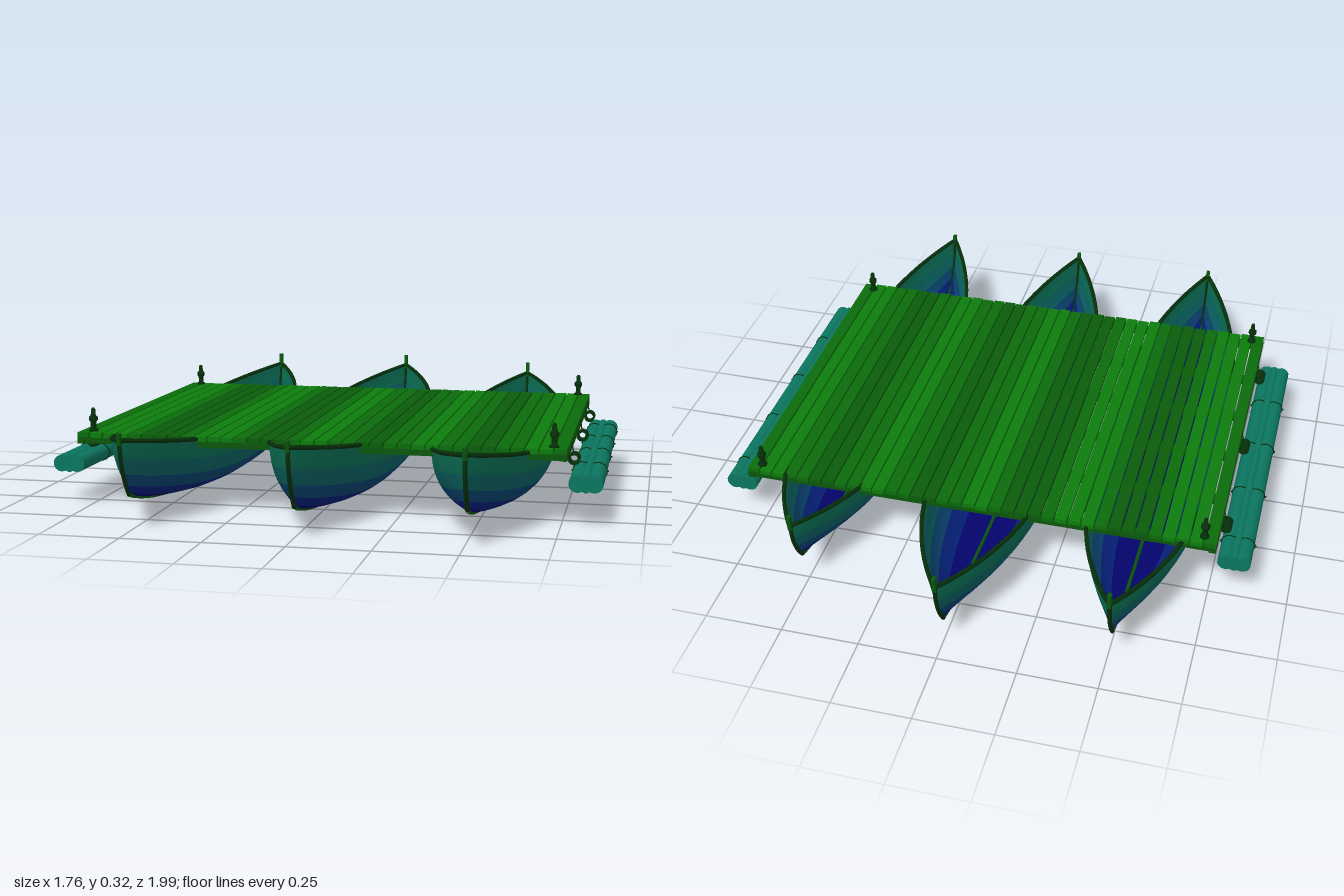
import * as THREE from 'three';

const paint = (color, side = THREE.FrontSide) => new THREE.MeshStandardMaterial({ color, side });
const timber = paint(0x0a560c), darkTimber = paint(0x06300a), logTeal = paint(0x0b7660);
const plankTones = [0x0a5c0a, 0x0b6c0b, 0x0c7c0c].map((c) => paint(c));
const hullTones = [0x04046e, 0x06207a, 0x084470, 0x0a6262, 0x0a6e54].map((c) => paint(c, THREE.DoubleSide));

function add(parent, name, geometry, material, x = 0, y = 0, z = 0) {
  const mesh = new THREE.Mesh(geometry, material);
  mesh.name = name;
  mesh.position.set(x, y, z);
  parent.add(mesh);
  return mesh;
}

// Point on the hull skin: t runs stern to bow (-1..1), v from keel (0) to gunwale (1)
function hullPoint(h, t, v, side) {
  const a = Math.abs(t);
  const bottom = h.base + 0.085 * a ** 2.3;
  const sheer = 0.208 + 0.08 * a * a;
  const n = 2.5 - 1.1 * a ** 3;
  const width = h.halfWidth * (1 - a ** 3) + 0.003;
  const x = side * width * Math.max(0, 1 - (1 - v) ** n) ** (1 / n);
  const z = h.mid + h.halfLength * t * (1 - 0.075 * a ** 4 * (1 - v) ** 2);
  return new THREE.Vector3(x, bottom + (sheer - bottom) * v, z);
}

// Skin lofted gunwale to gunwale, tinted in bands by height
function hullSkin(h) {
  const rows = 40, half = 10, cols = half * 2;
  const pos = [], index = [], geometry = new THREE.BufferGeometry();
  for (let i = 0; i <= rows; i++) {
    const t = Math.sin((i / rows - 0.5) * Math.PI);
    for (let j = 0; j <= cols; j++) {
      const s = j / half - 1;
      pos.push(...hullPoint(h, t, Math.abs(s) ** 1.8, Math.sign(s)).toArray());
    }
  }
  for (let band = 0; band < 5; band++) {
    const start = index.length;
    for (let j = 0; j < cols; j++) {
      const level = j < half ? half - 1 - j : j - half;
      if (Math.floor(level / 2) !== band) continue;
      for (let i = 0; i < rows; i++) {
        const a = i * (cols + 1) + j, b = a + cols + 1;
        index.push(a, a + 1, b, a + 1, b + 1, b);
      }
    }
    geometry.addGroup(start, index.length - start, band);
  }
  geometry.setAttribute('position', new THREE.Float32BufferAttribute(pos, 3));
  geometry.setIndex(index);
  geometry.computeVertexNormals();
  return geometry;
}

function tube(points, radius, segments = 60, sides = 6) {
  return new THREE.TubeGeometry(new THREE.CatmullRomCurve3(points), segments, radius, sides);
}

function createBoat(h) {
  const boat = new THREE.Group();
  boat.name = h.name;
  boat.position.x = h.x;
  add(boat, 'hull', hullSkin(h), hullTones);

  const stations = Array.from({ length: 25 }, (_, i) => Math.sin((i / 24 - 0.5) * Math.PI));
  for (const side of [-1, 1]) {
    add(boat, 'gunwale', tube(stations.map((t) => hullPoint(h, t, 1, side)), 0.007), darkTimber);
  }
  add(boat, 'keel', tube(stations.map((t) => hullPoint(h, t, 0, 1)), 0.006), timber);

  // Stem follows the raked end and finishes in an upright post
  for (const end of [-1, 1]) {
    const stem = [0, 0.2, 0.4, 0.6, 0.8, 1].map((v) => hullPoint(h, end, v, 0));
    add(boat, 'stem', tube(stem, 0.007, 16), darkTimber);
    const top = stem[5];
    const rise = end < 0 ? 0.055 : 0.036;
    const post = add(boat, 'stemPost', new THREE.BoxGeometry(0.012, rise, 0.016), timber,
      0, top.y + rise / 2 - 0.015, top.z + end * 0.002);
    post.rotation.x = end * 0.15;
  }
  return boat;
}

function createDeck() {
  const deck = new THREE.Group();
  deck.name = 'deck';
  const count = 36, pitch = 1.54 / count, midZ = 0.04;
  for (let i = 0; i < count; i++) {
    const x = -0.77 + pitch * (i + 0.5);
    const tone = Math.round(1 + Math.sin(i * 0.8));
    const length = 1.194 + 0.006 * Math.sin(i * 2.3);
    add(deck, 'plank', new THREE.BoxGeometry(pitch - 0.005, 0.015, length), plankTones[tone], x, 0.2435, midZ);
  }
  // Cross beams carry the planks over the boats
  for (let i = 0; i < 6; i++) {
    add(deck, 'crossBeam', new THREE.BoxGeometry(1.53, 0.02, 0.03), timber, 0, 0.226, -0.535 + i * 0.23);
  }
  for (const side of [-1, 1]) {
    add(deck, 'edgeBeam', new THREE.BoxGeometry(0.022, 0.022, 1.19), timber, side * 0.757, 0.226, midZ);
  }
  return deck;
}

// Turned mooring post
const bollardProfile = [[0, 0], [0.015, 0], [0.015, 0.006], [0.009, 0.01], [0.009, 0.03], [0.014, 0.036],
  [0.014, 0.046], [0.008, 0.052], [0.007, 0.07], [0.004, 0.075], [0, 0.075]];
const bollard = new THREE.LatheGeometry(bollardProfile.map(([x, y]) => new THREE.Vector2(x, y)), 12);

// Hollow roller hung from the deck edge
function rollerGeometry() {
  const shape = new THREE.Shape().absarc(0, 0, 0.019, 0, Math.PI * 2);
  shape.holes.push(new THREE.Path().absarc(0, 0, 0.012, 0, Math.PI * 2, true));
  return new THREE.ExtrudeGeometry(shape, { depth: 0.04, bevelEnabled: false, curveSegments: 12 }).translate(0, 0, -0.02);
}

function createSide(side) {
  const group = new THREE.Group();
  group.name = side > 0 ? 'leftSideGear' : 'rightSideGear';
  for (const z of [-0.525, 0.6]) add(group, 'bollard', bollard, darkTimber, side * 0.727, 0.25, z);

  const roller = rollerGeometry();
  for (const z of [-0.385, 0.035, 0.46]) {
    add(group, 'roller', roller, darkTimber, side * 0.779, 0.195, z);
    const cord = [[0.766, 0.248], [0.772, 0.235], [0.776, 0.212]].map(([x, y]) => new THREE.Vector3(side * x, y, z));
    add(group, 'rollerCord', tube(cord, 0.002, 6, 5), darkTimber);
  }

  // Floating log bundle with lashings
  const log = (r, length) => new THREE.CylinderGeometry(r, r, length, 14).rotateX(Math.PI / 2);
  const logs = [[0.797, 0.138, 0.027], [0.848, 0.138, 0.027], [0.8225, 0.152, 0.014], [0.8225, 0.124, 0.014]];
  for (const [x, y, r] of logs) add(group, 'floatLog', log(r, 1.08), logTeal, side * x, y, 0.04);
  for (const z of [-0.4, -0.145, 0.105, 0.36]) {
    for (const x of [0.797, 0.848]) {
      add(group, 'lashing', new THREE.TorusGeometry(0.0275, 0.0025, 5, 16), darkTimber, side * x, 0.138, z);
    }
    add(group, 'lashingPin', new THREE.BoxGeometry(0.116, 0.004, 0.005), darkTimber, side * 0.823, 0.138, z);
  }
  return group;
}

export function createModel() {
  const model = new THREE.Group();
  model.name = 'pontoonRaft';
  const boats = [
    { name: 'rightBoat', x: -0.51, mid: 0.01, halfLength: 0.94, halfWidth: 0.188, base: 0.026 },
    { name: 'middleBoat', x: 0, mid: -0.013, halfLength: 0.975, halfWidth: 0.197, base: 0.012 },
    { name: 'leftBoat', x: 0.51, mid: 0.073, halfLength: 0.905, halfWidth: 0.185, base: 0.03 },
  ];
  for (const boat of boats) model.add(createBoat(boat));
  model.add(createDeck(), createSide(-1), createSide(1));
  return model;
}
